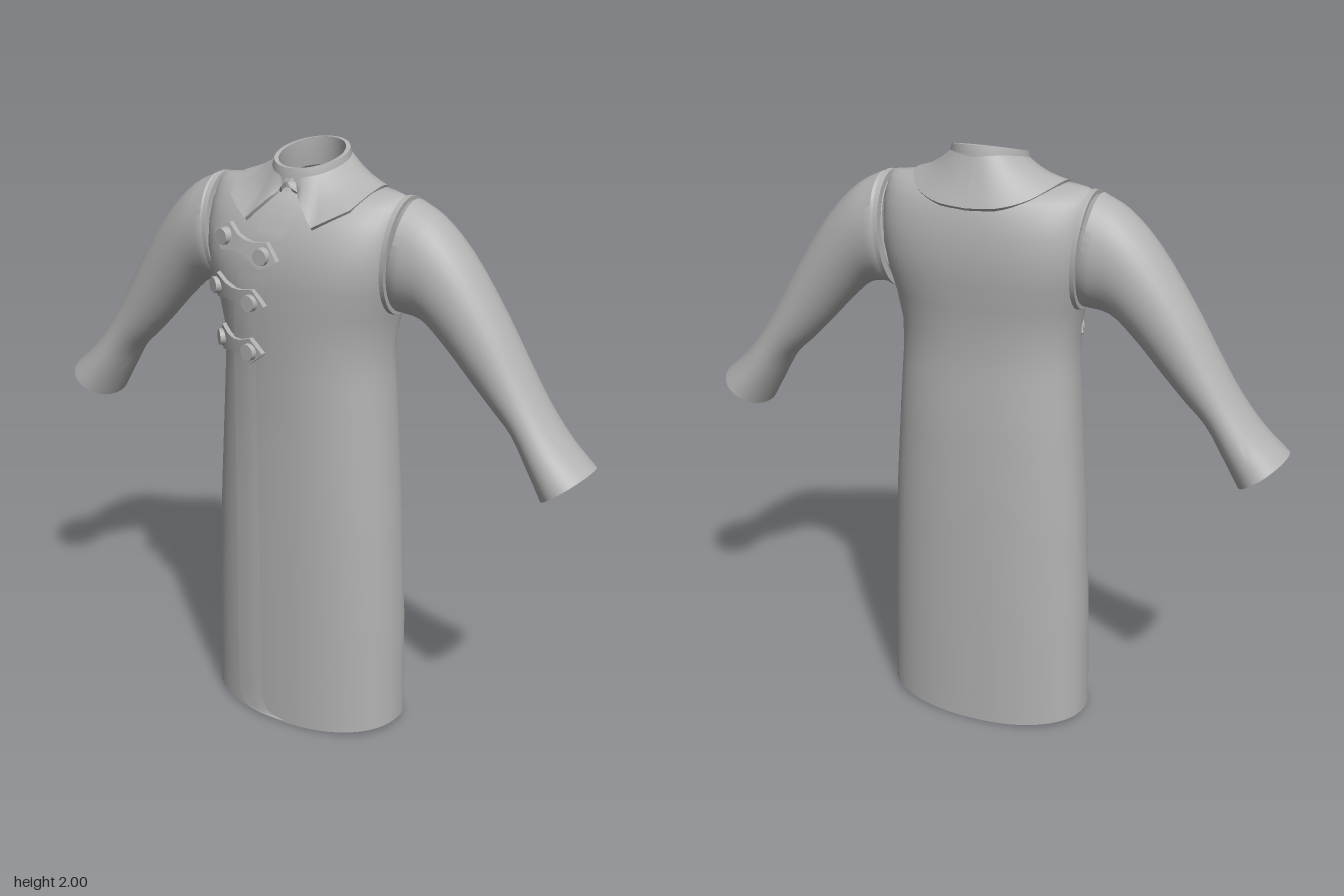
import * as THREE from 'three';
import { toCreasedNormals } from 'three/addons/utils/BufferGeometryUtils.js';

const V = (x, y, z) => new THREE.Vector3(x, y, z);
const lerp = THREE.MathUtils.lerp;
const cloth = new THREE.MeshStandardMaterial({ color: 0xb2b2b2, side: THREE.DoubleSide });
cloth.name = 'grey cloth';

// Skin a list of equally long point rows; closed joins each row's ends.
function loft(name, rows, closed = true, crease = 0.7) {
  const n = rows[0].length, index = [];
  for (let i = 0; i < rows.length - 1; i++) {
    for (let j = 0; j < (closed ? n : n - 1); j++) {
      const k = (j + 1) % n, a = i * n + j, b = i * n + k, c = a + n, d = b + n;
      index.push(a, c, b, b, c, d);
    }
  }
  const geo = new THREE.BufferGeometry().setFromPoints(rows.flat());
  geo.setIndex(index);
  const mesh = new THREE.Mesh(toCreasedNormals(geo, crease), cloth);
  mesh.name = name;
  return mesh;
}

// Coat cross-sections: y, half width, front z, back z, squareness
const BODY = [
  [0, 0.36, 0.18, -0.225, 2.3], [0.4, 0.352, 0.18, -0.225, 2.3], [0.8, 0.334, 0.18, -0.223, 2.3],
  [1.1, 0.313, 0.181, -0.217, 2.3], [1.3, 0.298, 0.186, -0.207, 2.3], [1.4, 0.297, 0.191, -0.208, 2.3],
  [1.5, 0.315, 0.196, -0.218, 2.4], [1.58, 0.335, 0.199, -0.23, 2.6], [1.66, 0.348, 0.196, -0.235, 2.7],
  [1.74, 0.352, 0.178, -0.23, 2.6], [1.8, 0.353, 0.15, -0.218, 2.3], [1.84, 0.352, 0.125, -0.205, 1.9],
  [1.862, 0.35, 0.105, -0.195, 1.5], [1.874, 0.33, 0.09, -0.18, 1.3], [1.88, 0.25, 0.085, -0.17, 1.5],
  [1.9, 0.14, 0.08, -0.16, 2],
];
const MID = -0.035;

function section(y) {
  let i = 0;
  while (i < BODY.length - 2 && BODY[i + 1][0] < y) i++;
  const t = THREE.MathUtils.clamp((y - BODY[i][0]) / (BODY[i + 1][0] - BODY[i][0]), 0, 1);
  return BODY[i].map((v, k) => lerp(v, BODY[i + 1][k], t));
}

// Depth of the coat surface at x, y
function bodyZ(x, y, front = true) {
  const [, w, zf, zb, n] = section(y);
  const s = Math.pow(Math.max(0, 1 - Math.pow(Math.min(1, Math.abs(x) / w), n)), 1 / n);
  return MID + ((front ? zf : zb) - MID) * s;
}

function bodyRing(y, inset = 0, lift = 0) {
  const [, w, zf, zb, n] = section(y);
  return Array.from({ length: 64 }, (_, j) => {
    const a = (j / 64) * Math.PI * 2, c = Math.cos(a), s = Math.sin(a);
    const px = Math.sign(c) * Math.abs(c) ** (2 / n), pz = Math.sign(s) * Math.abs(s) ** (2 / n);
    const hem = 0.025 * px * px * Math.max(0, 1 - y / 0.3);
    return V(px * (w - inset), y + hem + lift, MID + pz * ((s > 0 ? zf - MID : MID - zb) - inset));
  });
}

// Ring between an upper and a lower outline point: x1, y1, x2, y2, front z, back z
function tiltRing([x1, y1, x2, y2, zf, zb], side, grow = 0) {
  const c = V((x1 + x2) / 2, (y1 + y2) / 2, (zf + zb) / 2);
  const up = V(x1, y1, c.z).sub(c), r = (zf - zb) / 2 + grow;
  up.setLength(up.length() + grow);
  return Array.from({ length: 36 }, (_, j) => {
    const a = (j / 36) * Math.PI * 2;
    return V((c.x + up.x * Math.cos(a)) * side, c.y + up.y * Math.cos(a), c.z + r * Math.sin(a));
  });
}

function addSleeve(group, side) {
  const keys = [
    [0.372, 1.865, 0.333, 1.505, 0.09, -0.175], [0.45, 1.825, 0.42, 1.492, 0.084, -0.168],
    [0.55, 1.73, 0.5, 1.425, 0.074, -0.16], [0.68, 1.545, 0.6, 1.32, 0.062, -0.153],
    [0.76, 1.41, 0.67, 1.25, 0.056, -0.15], [0.84, 1.28, 0.74, 1.185, 0.056, -0.149],
    [0.92, 1.18, 0.8, 1.09, 0.068, -0.156], [1.0, 1.107, 0.855, 0.995, 0.082, -0.165],
  ];
  // Each of the six numbers runs smoothly from shoulder to cuff
  const ptsA = new THREE.CatmullRomCurve3(keys.map(k => V(k[0], k[1], k[4])));
  const ptsB = new THREE.CatmullRomCurve3(keys.map(k => V(k[2], k[3], k[5])));
  const at = t => {
    const a = ptsA.getPoint(t), b = ptsB.getPoint(t);
    return [a.x, a.y, b.x, b.y, a.z, b.z];
  };
  const rows = [tiltRing([0.335, 1.85, 0.31, 1.52, 0.07, -0.155], side)];
  for (let i = 0; i <= 21; i++) rows.push(tiltRing(at(i / 21), side));
  for (let i = 21; i >= 3; i -= 3) rows.push(tiltRing(at(i / 21), side, -0.008));
  group.add(loft(side > 0 ? 'leftSleeve' : 'rightSleeve', rows));

  // Raised edging round the armhole
  const inner = [0.338, 1.872, 0.312, 1.492, 0.098, -0.182], outer = [0.356, 1.872, 0.326, 1.495, 0.098, -0.182];
  group.add(loft(side > 0 ? 'leftArmholeEdging' : 'rightArmholeEdging', [
    tiltRing(inner, side, -0.03), tiltRing(inner, side), tiltRing(outer, side), tiltRing(outer, side, -0.03),
  ]));
}

// Fold-down collar with pointed fronts
function makeCollar() {
  const outer = [], inner = [];
  const onBody = (x, y, front) => V(x, y, bodyZ(x, y, front) + (front ? 0.014 : -0.012));
  const tip = [0.122, 1.783], corner = [0.222, 1.838];
  for (let i = 0; i <= 8; i++) outer.push(onBody(lerp(0.004, tip[0], i / 8), lerp(1.9, tip[1], i / 8), true));
  outer[0].z = 0.112;
  outer[1].z = Math.max(outer[1].z, 0.118);
  for (let i = 1; i <= 5; i++) outer.push(onBody(lerp(tip[0], corner[0], i / 5), lerp(tip[1], corner[1], i / 5), true));
  const side = new THREE.CatmullRomCurve3([
    outer[outer.length - 1].clone(), V(0.246, 1.878, 0.02), V(0.25, 1.89, -0.04), V(0.23, 1.878, -0.11),
    V(0.18, 1.85, -0.175), V(0.1, 1.828, -0.214), V(0, 1.82, -0.222),
  ]);
  outer.push(...side.getPoints(20).slice(1));
  outer.forEach((p, i) => {
    const a = Math.PI * Math.pow(i / (outer.length - 1), 1.05);
    inner.push(neckPoint(a, 0.004, -0.016));
  });
  const blend = (t, sag) => outer.map((p, i) => inner[i].clone().lerp(p, t).add(V(0, -sag, 0)));
  const rim = outer.map(p => V(p.x * 0.985, p.y - 0.012, MID + (p.z - MID) * 0.94));
  const half = [inner, blend(0.3, 0.008), blend(0.55, 0.01), blend(0.8, 0.005), outer, rim];
  const g = new THREE.Group();
  g.name = 'collar';
  for (const s of [1, -1]) {
    const rows = half.map(r => r.map(p => V(p.x * s, p.y, p.z)));
    g.add(loft(s > 0 ? 'collarLeft' : 'collarRight', rows, false, 0.8));
  }
  return g;
}

// Tilted neck opening, angle from the front centre
function neckPoint(a, grow, dy) {
  const c = Math.cos(a);
  return V((0.113 + grow) * Math.sin(a), 1.97 - 0.03 * c + dy, -0.034 + (0.122 + grow) * c);
}
const neckRing = (grow, dy) => Array.from({ length: 48 }, (_, j) => neckPoint((j / 48) * Math.PI * 2, grow, dy));

// Pointed fastening tab that follows the chest, with two buttons
function makeFastener(x0, y0, x1, y1) {
  const g = new THREE.Group();
  g.name = 'fastener';
  const shape = [[0, 0.003], [0.12, 0.028], [0.2, 0.044], [0.28, 0.036], [0.38, 0.026], [0.5, 0.022]];
  const profile = [...shape, ...shape.slice(0, -1).reverse().map(([t, w]) => [1 - t, w])];
  const dir = V(x1 - x0, y1 - y0, 0).normalize();
  const rows = profile.map(([t, w]) => {
    const cx = lerp(x0, x1, t), cy = lerp(y0, y1, t);
    const corner = (s, h) => {
      const x = cx - dir.y * w * s, y = cy + dir.x * w * s;
      return V(x, y, bodyZ(x, y) + h);
    };
    return [corner(-1, -0.005), corner(-1, 0.02), corner(1, 0.02), corner(1, -0.005)];
  });
  g.add(loft('tab', rows, true, 0.6));
  for (const t of [0.2, 0.8]) {
    const x = lerp(x0, x1, t), y = lerp(y0, y1, t);
    const button = new THREE.Mesh(new THREE.CylinderGeometry(0.026, 0.029, 0.024, 20).rotateX(Math.PI / 2), cloth);
    button.position.set(x, y, bodyZ(x, y) + 0.024);
    button.rotation.y = Math.atan((bodyZ(x - 0.02, y) - bodyZ(x + 0.02, y)) / 0.04);
    button.name = 'button';
    g.add(button);
  }
  return g;
}

// Overlapping front edge, rounded at the hem
function makeFrontFlap() {
  const edge = new THREE.CatmullRomCurve3([
    V(-0.08, 0.006, 0), V(-0.14, 0.018, 0), V(-0.17, 0.06, 0), V(-0.176, 0.14, 0), V(-0.176, 0.6, 0), V(-0.176, 1.1, 0),
    V(-0.175, 1.35, 0), V(-0.155, 1.5, 0), V(-0.11, 1.66, 0), V(-0.06, 1.78, 0), V(-0.01, 1.87, 0),
  ], false, 'centripetal');
  const rows = edge.getPoints(60).map(({ x, y }) =>
    [[0, -0.004], [0, 0.006], [0.04, 0.005], [0.08, 0.003], [0.13, -0.003]].map(([d, h]) =>
      V(x + d, y, bodyZ(x + d, y) + h)));
  return loft('frontFlap', rows, false);
}

export function createModel() {
  const coat = new THREE.Group();
  coat.name = 'coat';

  // Body with a thin turned-in hem
  const rows = [bodyRing(0.1, 0.01), bodyRing(0, 0.01, 0.002)];
  BODY.forEach((r, i) => {
    rows.push(bodyRing(r[0]));
    const next = BODY[i + 1];
    if (next && next[0] - r[0] > 0.15) for (const t of [0.25, 0.5, 0.75]) rows.push(bodyRing(lerp(r[0], next[0], t)));
  });
  coat.add(loft('body', rows, true, 0.9));
  coat.add(makeFrontFlap());

  for (const side of [1, -1]) addSleeve(coat, side);

  // Standing neckband, hollow inside
  coat.add(loft('neckband', [
    neckRing(0.012, -0.06), neckRing(0.009, -0.02), neckRing(0.004, 0), neckRing(-0.01, 0),
    neckRing(-0.008, -0.04), neckRing(0.0, -0.09),
  ]));
  coat.add(makeCollar());

  coat.add(makeFastener(-0.24, 1.735, 0.025, 1.67));
  coat.add(makeFastener(-0.28, 1.565, -0.02, 1.52));
  coat.add(makeFastener(-0.285, 1.372, -0.035, 1.36));
  return coat;
}
